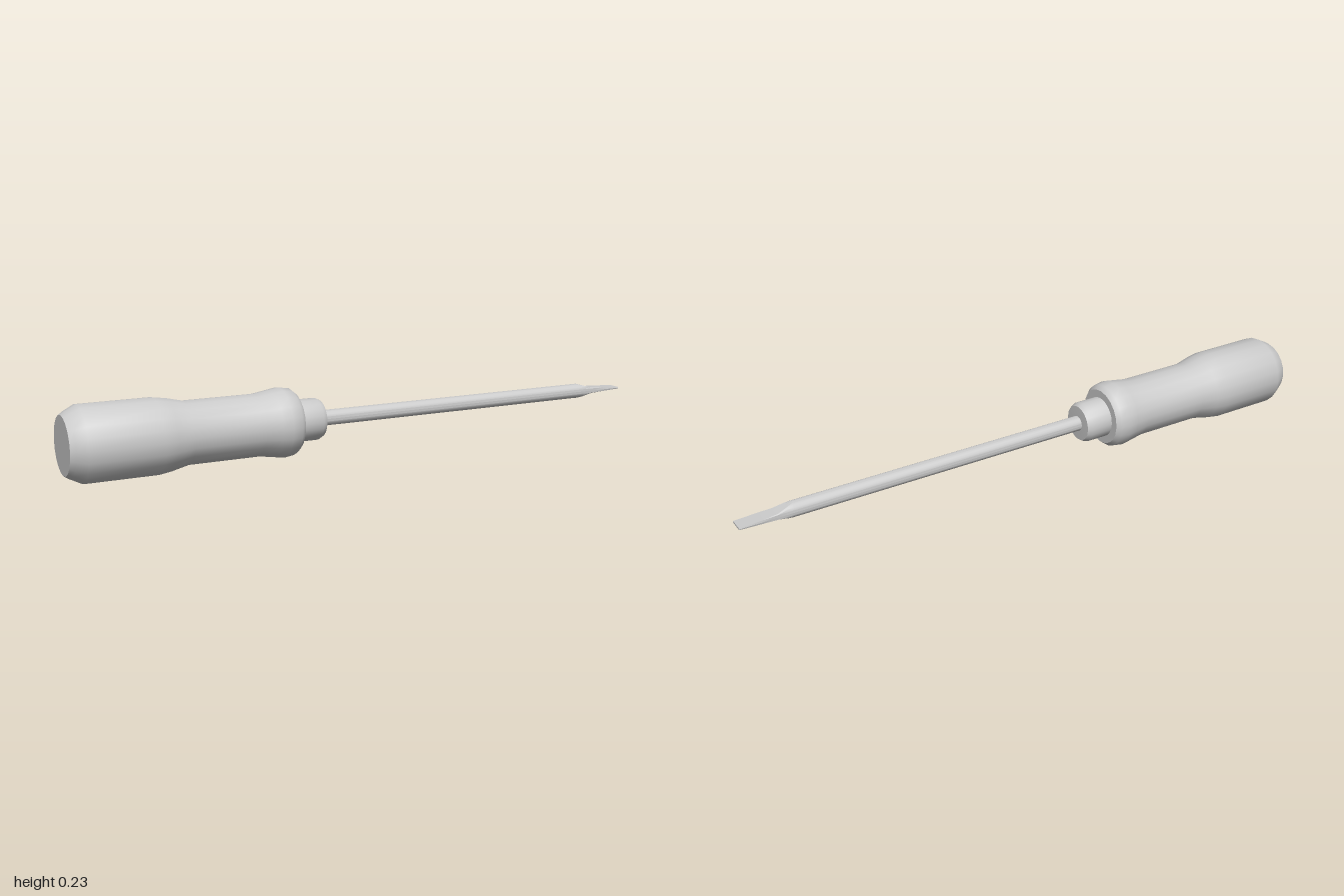
import * as THREE from 'three';
import { toCreasedNormals } from 'three/addons/utils/BufferGeometryUtils.js';

const SIDES = 20;
const AXIS_Y = 0.118;
const material = new THREE.MeshStandardMaterial({ color: 0xcccccc });

// Turned solid lying along x; profile is a list of [x, radius]
function turned(profile) {
  const points = profile.map(([x, r]) => new THREE.Vector2(r, x));
  return new THREE.LatheGeometry(points, SIDES).rotateZ(-Math.PI / 2);
}

function part(name, geometry, crease = 0.7) {
  const mesh = new THREE.Mesh(toCreasedNormals(geometry, crease), material);
  mesh.name = name;
  mesh.position.y = AXIS_Y;
  return mesh;
}

export function createModel() {
  const group = new THREE.Group();
  group.name = 'screwdriver';

  // Handle: bevelled butt, thick grip, waist and flared front rim
  group.add(part('handle', turned([
    [-1, 0], [-1, 0.09], [-0.985, 0.1], [-0.952, 0.117], [-0.725, 0.117],
    [-0.685, 0.111], [-0.63, 0.098], [-0.4, 0.098], [-0.35, 0.106],
    [-0.318, 0.111], [-0.285, 0.106], [-0.27, 0.093], [-0.27, 0],
  ])));

  // Collar between handle and shaft
  group.add(part('collar', turned([
    [-0.28, 0], [-0.28, 0.067], [-0.195, 0.067], [-0.18, 0.059], [-0.178, 0],
  ])));

  // Round shaft whose end is ground flat into a blade
  const r = 0.025;
  const blade = [[0.83, r], [0.85, 0.019], [0.88, 0.01], [0.93, 0.006], [1, 0.003]];
  const shaft = turned([[-0.18, 0], [-0.18, r], ...blade.map(([x]) => [x, r]), [1, 0]]);
  const pos = shaft.attributes.position;
  for (let i = 0; i < pos.count; i++) {
    const section = blade.find(([x]) => Math.abs(x - pos.getX(i)) < 1e-4);
    if (section) pos.setY(i, THREE.MathUtils.clamp(pos.getY(i), -section[1], section[1]));
  }
  group.add(part('shaftAndBlade', shaft, 0.4));

  return group;
}
